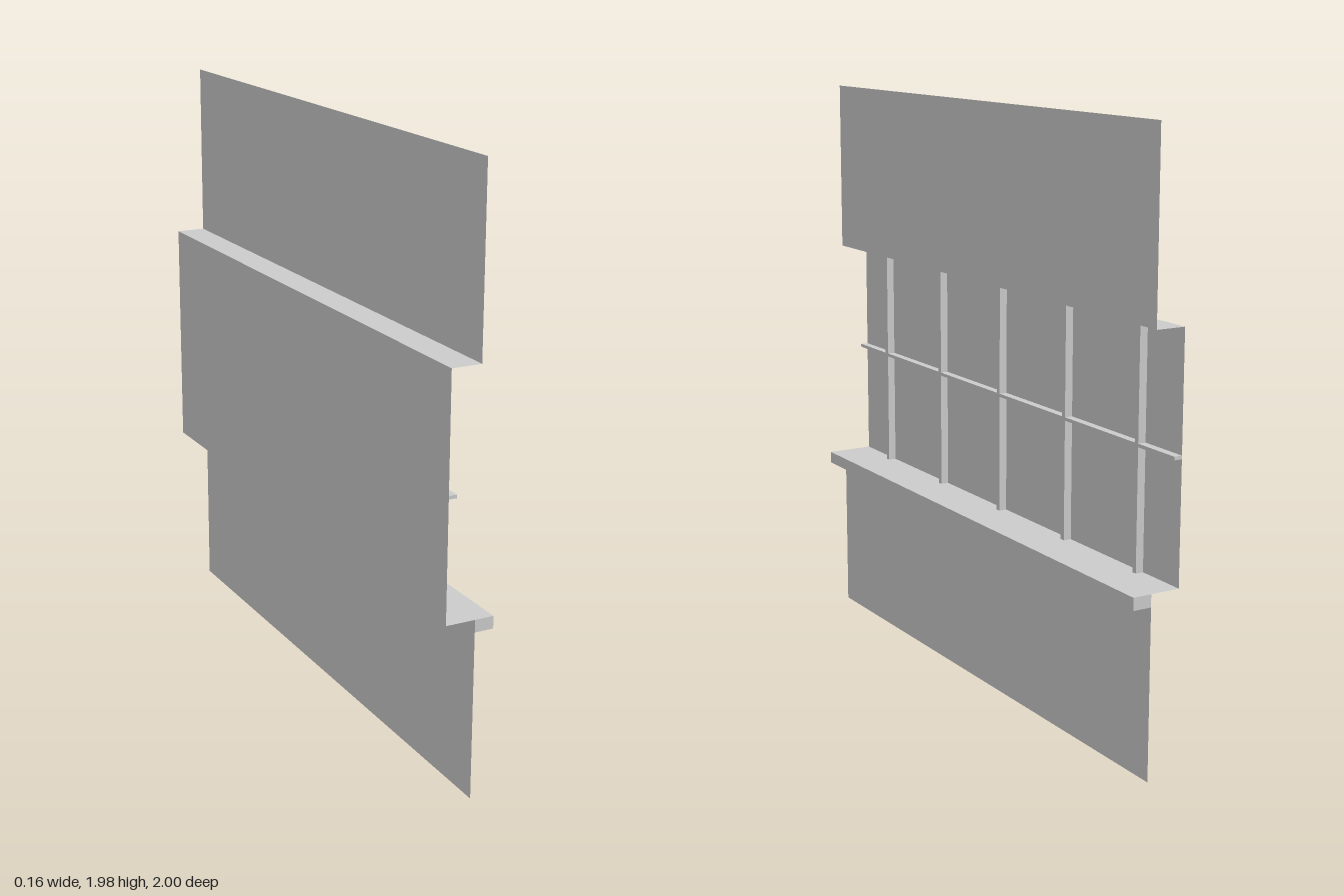
import * as THREE from 'three';

const WALL_X = 0.016, GLASS_X = -0.084;      // wall face and recessed glazing planes
const SILL_Y = 0.596, HEAD_Y = 1.387, TOP_Y = 1.98;
const LENGTH = 2;

export function createModel() {
  const group = new THREE.Group();
  const solid = new THREE.MeshStandardMaterial({ color: 0xcccccc });
  const sheet = new THREE.MeshStandardMaterial({ color: 0xcccccc, side: THREE.DoubleSide });

  const add = (name, geometry, material) => {
    const mesh = new THREE.Mesh(geometry, material);
    mesh.name = name;
    group.add(mesh);
    return mesh;
  };

  // Upright sheet facing +x, running the full length
  const upright = (name, x, y0, y1) => {
    const g = new THREE.PlaneGeometry(LENGTH, y1 - y0).rotateY(Math.PI / 2);
    add(name, g, sheet).position.set(x, (y0 + y1) / 2, 0);
  };

  // Level sheet between the glazing and the wall face
  const level = (name, y, facing) => {
    const g = new THREE.PlaneGeometry(WALL_X - GLASS_X, LENGTH).rotateX(-facing * Math.PI / 2);
    add(name, g, sheet).position.set((WALL_X + GLASS_X) / 2, y, 0);
  };

  // Box given by its limits on each axis
  const block = (name, [x0, x1], [y0, y1], [z0, z1]) => {
    const g = new THREE.BoxGeometry(x1 - x0, y1 - y0, z1 - z0);
    add(name, g, solid).position.set((x0 + x1) / 2, (y0 + y1) / 2, (z0 + z1) / 2);
  };

  // Wall below and above the window band
  upright('lowerWall', WALL_X, 0, SILL_Y);
  upright('upperWall', WALL_X, HEAD_Y, TOP_Y);

  // Recessed window: glass, inner sill and head reveal
  upright('windowPane', GLASS_X, SILL_Y, HEAD_Y);
  level('innerSill', SILL_Y, 1);
  level('headReveal', HEAD_Y, -1);

  // Projecting sill
  block('outerSill', [WALL_X, 0.08], [0.555, SILL_Y], [-1, 1]);

  // Glazing bars
  const barDepth = [GLASS_X, -0.057];
  block('horizontalBar', barDepth, [0.993, 1.004], [-1, 1]);
  for (let i = 0; i < 5; i++) {
    const z = 0.8 - 0.4 * i;
    block('verticalBar', barDepth, [SILL_Y, HEAD_Y], [z - 0.018, z]);
  }

  return group;
}
